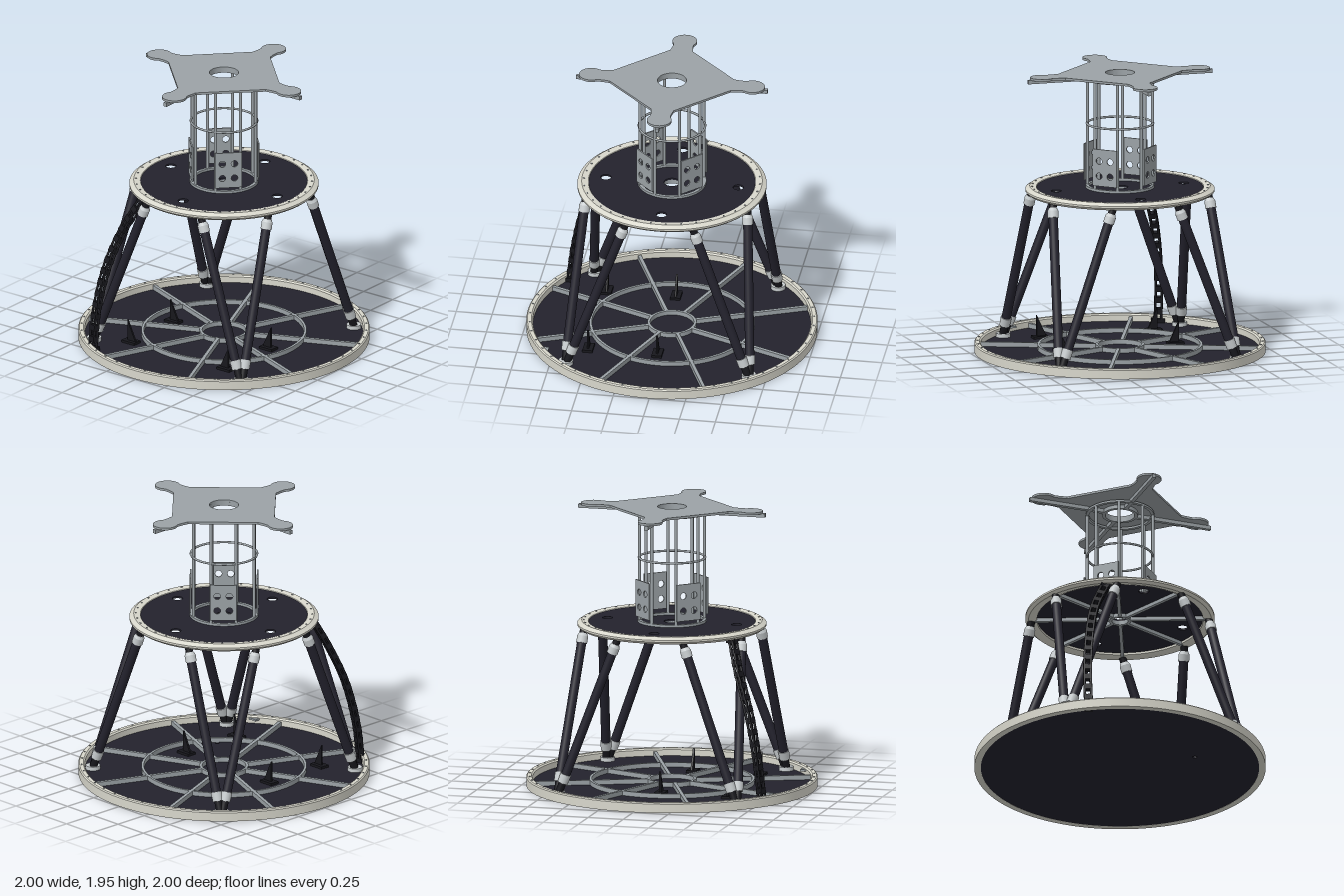
import * as THREE from 'three';
import { mergeGeometries, toCreasedNormals } from 'three/addons/utils/BufferGeometryUtils.js';

const mat = (name, color) => {
  const m = new THREE.MeshStandardMaterial({ color });
  m.name = name;
  return m;
};
const V = (x, y, z) => new THREE.Vector3(x, y, z);
const EIGHTHS = [...Array(8).keys()].map((k) => Math.PI / 8 + (k * Math.PI) / 4);

// Cylinder between two points
function bar(a, b, r, r2 = r, sides = 20) {
  const d = b.clone().sub(a);
  const g = new THREE.CylinderGeometry(r2, r, d.length(), sides);
  g.applyQuaternion(new THREE.Quaternion().setFromUnitVectors(V(0, 1, 0), d.normalize()));
  return g.translate((a.x + b.x) / 2, (a.y + b.y) / 2, (a.z + b.z) / 2);
}
const box = (w, h, d, x, y, z) => new THREE.BoxGeometry(w, h, d).translate(x, y, z);

// Closed profile (outside upward, then inward, then down) spun around y
function spin(points, sides = 96) {
  const p = [...points, points[0]].map(([r, y]) => new THREE.Vector2(r, y));
  return toCreasedNormals(new THREE.LatheGeometry(p, sides), 0.5);
}
const band = (inner, outer, y0, y1) => spin([[outer, y0], [outer, y1], [inner, y1], [inner, y0]], 72);

// Flat shape with round holes, laid horizontally from y0 to y1
function slab(shape, holes, y0, y1) {
  for (const [x, z, r] of holes) shape.holes.push(new THREE.Path().absarc(x, -z, r, 0, Math.PI * 2, true));
  const g = new THREE.ExtrudeGeometry(shape, { depth: y1 - y0, bevelEnabled: false, curveSegments: 48 });
  return g.rotateX(-Math.PI / 2).translate(0, y0, 0);
}
const disc = (r) => new THREE.Shape().absarc(0, 0, r, 0, Math.PI * 2, false);

// Radial beams between two radii
const spokes = (angles, r0, r1, width, y0, y1) =>
  angles.map((a) => box(r1 - r0, y1 - y0, width, (r0 + r1) / 2, (y0 + y1) / 2, 0).rotateY(a));

const bolts = (count, radius, y) =>
  [...Array(count).keys()].map((k) => {
    const a = ((k + 0.5) / count) * Math.PI * 2;
    return new THREE.CylinderGeometry(0.006, 0.006, 0.008, 8).translate(radius * Math.cos(a), y, radius * Math.sin(a));
  });

export function createModel() {
  const ivory = mat('ivory rim', 0xd8d7cc);
  const navy = mat('dark navy', 0x23222d);
  const grey = mat('metal grey', 0x9ba2a6);
  const pale = mat('pale collar', 0xc8cdcf);
  const black = mat('black', 0x17171c);

  const model = new THREE.Group();
  const add = (name, material, geos) => {
    const list = [].concat(geos).map((g) => (g.index ? g.toNonIndexed() : g));
    const mesh = new THREE.Mesh(list.length > 1 ? mergeGeometries(list) : list[0], material);
    mesh.name = name;
    model.add(mesh);
  };

  // Base
  add('baseRim', ivory, spin([[1, 0], [1, 0.062], [0.992, 0.07], [0.965, 0.07], [0.955, 0.06], [0.955, 0]], 128));
  add('baseFloor', navy, slab(disc(0.958), [[0.42, 0.34, 0.016]], 0.001, 0.018));
  add('baseRibs', grey, [
    ...spokes(EIGHTHS, 0.16, 0.957, 0.024, 0.017, 0.05),
    band(0.15, 0.168, 0.017, 0.05),
    band(0.55, 0.568, 0.017, 0.05),
  ]);
  add('baseBolts', grey, bolts(48, 0.978, 0.07));
  add('servicePlate', grey, box(0.07, 0.012, 0.05, 0.53, 0.05, 0.8));

  // Upper platform
  add('platformRim', ivory, spin([[0.63, 1.108], [0.65, 1.125], [0.65, 1.138], [0.62, 1.158], [0.575, 1.152], [0.57, 1.145], [0.57, 1.12], [0.6, 1.108]]));
  add('platformDeck', navy, slab(disc(0.575),
    [[0.46, 0, 0.036], [-0.46, 0, 0.036], [0, 0.46, 0.036], [0, -0.46, 0.036], [0, 0, 0.055]], 1.135, 1.148));
  add('platformRibs', grey, [
    ...spokes(EIGHTHS, 0.06, 0.585, 0.024, 1.11, 1.136),
    band(0.055, 0.075, 1.108, 1.136),
  ]);
  add('platformBolts', grey, bolts(36, 0.605, 1.156));

  // Cage: eight rods with hoops
  add('cageRods', grey, EIGHTHS.map((a) =>
    bar(V(0.225 * Math.cos(a), 1.148, 0.225 * Math.sin(a)), V(0.225 * Math.cos(a), 1.92, 0.225 * Math.sin(a)), 0.011, 0.011, 12)));
  add('cageHoops', grey, [
    band(0.213, 0.236, 1.147, 1.165),
    new THREE.TorusGeometry(0.228, 0.008, 8, 64).rotateX(Math.PI / 2).translate(0, 1.595, 0),
    band(0.213, 0.236, 1.905, 1.92),
  ]);

  // Perforated panels on the four diagonals
  const panels = [0, 1, 2, 3].map((k) => {
    const s = new THREE.Shape([[-0.092, 1.19], [0.092, 1.19], [0.092, 1.447], [-0.092, 1.447]].map((p) => new THREE.Vector2(...p)));
    for (const x of [-0.042, 0.042])
      for (const y of [1.26, 1.365]) s.holes.push(new THREE.Path().absarc(x, y, 0.023, 0, Math.PI * 2, true));
    return new THREE.ExtrudeGeometry(s, { depth: 0.01, bevelEnabled: false, curveSegments: 20 })
      .translate(0, 0, 0.225).rotateY(Math.PI / 4 + (k * Math.PI) / 2);
  });
  add('cagePanels', grey, panels);

  // Top plate: diamond with a rounded lobe on each corner
  const top = new THREE.Shape();
  for (let k = 0; k < 4; k++) {
    const turn = (x, y) => new THREE.Vector2(x, y).rotateAround(new THREE.Vector2(), (k * Math.PI) / 2);
    const pts = [turn(0.42, -0.078), turn(0.47, -0.07)];
    for (let i = 0; i <= 20; i++) {
      const a = -2.2 + (4.4 * i) / 20;
      pts.push(turn(0.56 + 0.085 * Math.cos(a), 0.085 * Math.sin(a)));
    }
    pts.push(turn(0.47, 0.07), turn(0.42, 0.078));
    pts.forEach((p, i) => (k + i ? top.lineTo(p.x, p.y) : top.moveTo(p.x, p.y)));
  }
  add('topPlate', grey, slab(top, [[0, 0, 0.1]], 1.934, 1.95));
  add('topBeams', grey, [
    ...spokes([0, 1, 2, 3].map((k) => (k * Math.PI) / 2), 0.11, 0.665, 0.026, 1.908, 1.935),
    band(0.1, 0.122, 1.908, 1.935),
  ]);

  // Four pairs of struts, each pair meeting at a corner of the base
  const tubes = [], collars = [], joints = [], pads = [];
  for (const sx of [1, -1])
    for (const sz of [1, -1]) {
      for (const swap of [false, true]) {
        const at = (a, y, b) => (swap ? V(b * sx, y, a * sz) : V(a * sx, y, b * sz));
        const foot = at(0.628, 0.035, 0.642), head = at(0.232, 1.115, 0.562);
        const on = (y) => foot.clone().lerp(head, (y - foot.y) / (head.y - foot.y));
        tubes.push(bar(on(0.16), on(1.03), 0.032));
        collars.push(bar(on(0.105), on(0.165), 0.036, 0.038), bar(on(1.015), on(1.06), 0.038), bar(on(1.06), on(1.08), 0.038, 0.028));
        joints.push(bar(on(0.04), on(0.11), 0.026), bar(on(1.075), on(1.115), 0.026));
      }
      pads.push(new THREE.CylinderGeometry(0.05, 0.05, 0.03, 24).translate(0.636 * sx, 0.03, 0.636 * sz));
    }
  add('strutTubes', navy, tubes);
  add('strutCollars', pale, collars);
  add('strutJoints', black, joints);
  add('strutPads', pale, pads);

  // Cable chain: four rails joined by link blocks
  const path = new THREE.CatmullRomCurve3([
    V(-0.53, 0.02, 0.79), V(-0.525, 0.3, 0.755), V(-0.485, 0.62, 0.685), V(-0.41, 0.89, 0.59), V(-0.31, 1.09, 0.52),
  ]);
  const frame = (t) => {
    const up = path.getTangentAt(t);
    const side = V(0.9, 0, 0.3);
    side.addScaledVector(up, -side.dot(up)).normalize();
    return new THREE.Matrix4().makeBasis(side, up, side.clone().cross(up)).setPosition(path.getPointAt(t));
  };
  const chain = [];
  for (const i of [-1, 1])
    for (const j of [-1, 1]) {
      const pts = [...Array(15).keys()].map((k) => V(0.022 * i, 0, 0.013 * j).applyMatrix4(frame(k / 14)));
      chain.push(new THREE.TubeGeometry(new THREE.CatmullRomCurve3(pts), 40, 0.009, 6));
    }
  for (let k = 0; k < 15; k++) chain.push(new THREE.BoxGeometry(0.058, 0.04, 0.042).applyMatrix4(frame(k / 14)));
  add('cableChain', black, chain);
  add('chainMounts', black, [box(0.08, 0.03, 0.06, -0.53, 0.032, 0.79), box(0.08, 0.03, 0.06, -0.3, 1.1, 0.51)]);

  // Triangular stops standing on the floor
  const stops = [];
  for (const sx of [1, -1])
    for (const z of [0.515, 0.035]) {
      const s = new THREE.Shape([[0.435, 0.03], [0.435, 0.18], [0.365, 0.03]].map(([x, y]) => new THREE.Vector2(x * sx, y)));
      stops.push(new THREE.ExtrudeGeometry(s, { depth: 0.014, bevelEnabled: false }).translate(0, 0, z - 0.007));
      stops.push(box(0.11, 0.018, 0.07, 0.41 * sx, 0.026, z));
    }
  add('floorStops', black, stops);

  return model;
}
